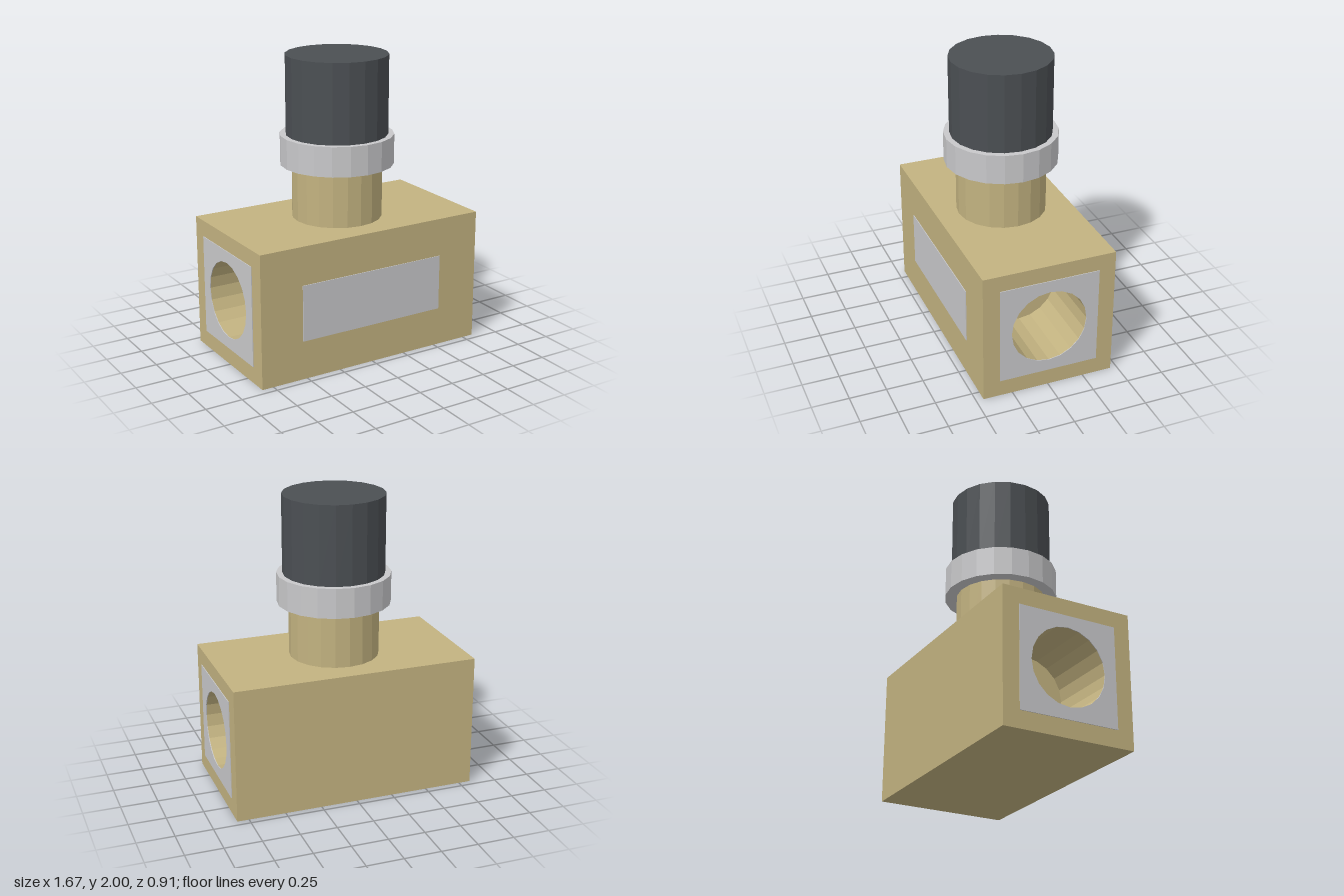
import * as THREE from 'three';

const SIDES = 20;
const BODY = { x: 0.83, height: 0.905, z: 0.4525 };
const BORE = { radius: 0.26, y: 0.455, depth: 0.5 };

function material(name, color) {
  const m = new THREE.MeshStandardMaterial({ color, flatShading: true });
  m.name = name;
  return m;
}

// Block with a round hole: cross-section in (z, y), starting at x = start and growing along +x
function boredBlock(halfWidth, bottom, top, start, depth) {
  const shape = new THREE.Shape([
    new THREE.Vector2(-halfWidth, bottom), new THREE.Vector2(halfWidth, bottom),
    new THREE.Vector2(halfWidth, top), new THREE.Vector2(-halfWidth, top),
  ]);
  const rim = [];
  for (let i = 0; i < SIDES; i++) {
    const a = (-i / SIDES) * Math.PI * 2;
    rim.push(new THREE.Vector2(Math.cos(a) * BORE.radius, BORE.y + Math.sin(a) * BORE.radius));
  }
  shape.holes.push(new THREE.Path(rim));
  return new THREE.ExtrudeGeometry(shape, { depth, bevelEnabled: false })
    .translate(0, 0, start)
    .rotateY(Math.PI / 2);
}

export function createModel() {
  const model = new THREE.Group();
  model.name = 'valve';
  const brass = material('brass', 0xc2b280);
  const silver = material('silver', 0xc8c8ca);
  const charcoal = material('charcoal', 0x4b4f53);

  const add = (name, geometry, mat, parent = model) => {
    const mesh = new THREE.Mesh(geometry, mat);
    mesh.name = name;
    parent.add(mesh);
    return mesh;
  };

  // Solid middle of the body, which closes both bores
  const coreEnd = BODY.x - BORE.depth;
  add('bodyCore', new THREE.BoxGeometry(coreEnd * 2, BODY.height, BODY.z * 2), brass)
    .position.y = BODY.height / 2;

  // Bored ends with their square port plates, mirrored by a half turn
  for (const [side, turn] of [['left', 0], ['right', Math.PI]]) {
    const port = new THREE.Group();
    port.name = side + 'Port';
    port.rotation.y = turn;
    add(side + 'BodyEnd', boredBlock(BODY.z, 0, BODY.height, coreEnd, BORE.depth), brass, port);
    add(side + 'PortPlate', boredBlock(0.34, 0.115, 0.795, BODY.x, 0.005), silver, port);
    model.add(port);
  }

  // Label plate on the front
  add('frontPlate', new THREE.BoxGeometry(1.06, 0.38, 0.005), silver)
    .position.set(0, 0.455, BODY.z + 0.0025);

  // Stacked neck, collar and knob
  for (const [name, radius, bottom, top, mat] of [
    ['neck', 0.302, 0.905, 1.27, brass],
    ['collar', 0.38, 1.27, 1.47, silver],
    ['knob', 0.34, 1.47, 2, charcoal],
  ]) {
    add(name, new THREE.CylinderGeometry(radius, radius, top - bottom, SIDES), mat)
      .position.y = (bottom + top) / 2;
  }

  model.position.z = -0.0025;
  return model;
}
